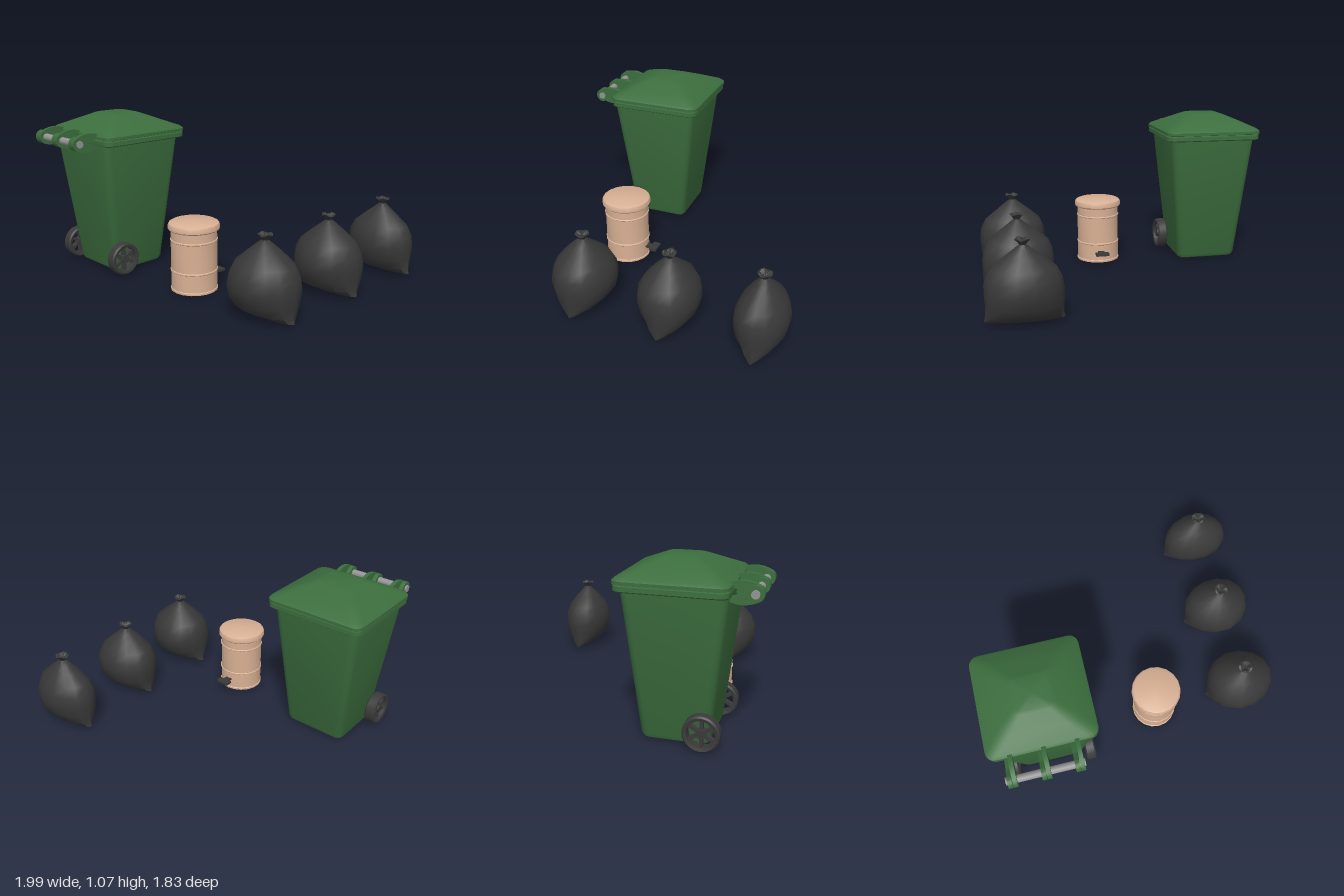
import * as THREE from 'three';
import { toCreasedNormals } from 'three/addons/utils/BufferGeometryUtils.js';

const mat = (name, color) => {
  const m = new THREE.MeshStandardMaterial({ color });
  m.name = name;
  return m;
};

// Skin a stack of equal-length rings (bottom to top) and cap both ends.
function loft(rings, crease) {
  const n = rings[0].length, pos = [], idx = [];
  rings.forEach(r => r.forEach(p => pos.push(...p)));
  for (let k = 0; k < rings.length - 1; k++)
    for (let i = 0; i < n; i++) {
      const j = (i + 1) % n, a = k * n, b = a + n;
      idx.push(a + i, b + i, a + j, a + j, b + i, b + j);
    }
  [rings[0], rings[rings.length - 1]].forEach((r, top) => {
    const c = pos.length / 3, base = top ? (rings.length - 1) * n : 0;
    pos.push(...[0, 1, 2].map(d => r.reduce((s, p) => s + p[d], 0) / n));
    for (let i = 0; i < n; i++) {
      const j = (i + 1) % n;
      idx.push(c, base + (top ? j : i), base + (top ? i : j));
    }
  });
  const g = new THREE.BufferGeometry();
  g.setAttribute('position', new THREE.Float32BufferAttribute(pos, 3));
  g.setIndex(idx);
  return toCreasedNormals(g, crease);
}

// Rounded rectangle in the xz plane.
function roundRect(y, x0, x1, z0, z1, r) {
  const out = [];
  const corners = [[x1 - r, z1 - r], [x0 + r, z1 - r], [x0 + r, z0 + r], [x1 - r, z0 + r]];
  corners.forEach(([cx, cz], q) => {
    for (let i = 0; i <= 4; i++) {
      const a = (q + i / 4) * Math.PI / 2;
      out.push([cx + r * Math.cos(a), y, cz + r * Math.sin(a)]);
    }
  });
  return out;
}

export function createModel() {
  const root = new THREE.Group();
  const green = mat('binGreen', 0x3c6e3e), tan = mat('canTan', 0xd8b094);
  const black = mat('bagBlack', 0x383838), rubber = mat('wheelDark', 0x3a3a3a);
  const grey = mat('rodGrey', 0x949494);
  const group = (name, parent = root) => {
    const g = new THREE.Group();
    g.name = name;
    parent.add(g);
    return g;
  };
  const add = (parent, name, geo, m, x = 0, y = 0, z = 0) => {
    const o = new THREE.Mesh(geo, m);
    o.name = name;
    o.position.set(x, y, z);
    parent.add(o);
    return o;
  };
  const lathe = (pts, seg, crease = 0.6) =>
    toCreasedNormals(new THREE.LatheGeometry(pts.map(p => new THREE.Vector2(...p)), seg), crease);

  // Wheeled bin: tapered body, rim and lid
  const bin = group('wheeledBin');
  add(bin, 'binBody', loft([
    roundRect(0.003, -0.845, -0.465, 0.25, 0.605, 0.03),
    roundRect(0.012, -0.863, -0.447, 0.232, 0.622, 0.04),
    roundRect(0.035, -0.873, -0.437, 0.221, 0.632, 0.045),
    roundRect(0.9, -0.962, -0.354, 0.122, 0.732, 0.05)], 0.6), green);
  add(bin, 'binRim', loft([
    roundRect(0.895, -0.985, -0.328, 0.1, 0.738, 0.05),
    roundRect(0.902, -0.995, -0.318, 0.09, 0.74, 0.055),
    roundRect(0.93, -0.995, -0.318, 0.09, 0.74, 0.055),
    roundRect(0.934, -0.985, -0.328, 0.1, 0.732, 0.05)], 0.5), green);
  add(bin, 'binLid', loft([
    roundRect(0.934, -0.985, -0.328, 0.1, 0.732, 0.05),
    roundRect(0.938, -1, -0.315, 0.083, 0.743, 0.06),
    roundRect(0.958, -1, -0.315, 0.083, 0.743, 0.06),
    roundRect(0.973, -0.985, -0.33, 0.1, 0.727, 0.06),
    roundRect(1.02, -0.885, -0.43, 0.205, 0.63, 0.06),
    roundRect(1.062, -0.785, -0.525, 0.3, 0.537, 0.04),
    roundRect(1.069, -0.76, -0.55, 0.32, 0.52, 0.03)], 0.6), green);

  // Hinge: paired arms of lid and body around one rod
  const hinge = group('hinge', bin);
  const arm = s => {
    const Y = v => 0.92 + s * v, sh = new THREE.Shape();
    sh.moveTo(0.715, Y(0.045));
    sh.quadraticCurveTo(0.8, Y(0.085), 0.89, Y(0.04));
    sh.absarc(0.87, 0.92, 0.045, s * 1.1, s * -2.1, s > 0);
    sh.lineTo(0.8, Y(0));
    sh.quadraticCurveTo(0.77, Y(0.01), 0.715, Y(0.032));
    const g = new THREE.ExtrudeGeometry(sh, { depth: 0.027, bevelEnabled: false, curveSegments: 10 });
    return toCreasedNormals(g.rotateY(-Math.PI / 2), 0.6);
  };
  const lidArm = arm(1), bodyArm = arm(-1);
  [-0.876, -0.674, -0.472].forEach(x => {
    add(hinge, 'lidArm', lidArm, green, x + 0.03);
    add(hinge, 'bodyArm', bodyArm, green, x);
  });
  add(hinge, 'hingeRod', new THREE.CylinderGeometry(0.024, 0.024, 0.48, 16).rotateZ(Math.PI / 2),
    grey, -0.675, 0.92, 0.868);

  // Spoked wheels and axle
  const tyre = lathe([[0.082, -0.03], [0.1, -0.035], [0.11, -0.026], [0.11, 0.026],
    [0.1, 0.035], [0.082, 0.03], [0.082, -0.03]], 28).rotateZ(Math.PI / 2);
  const hub = new THREE.CylinderGeometry(0.028, 0.028, 0.054, 16).rotateZ(Math.PI / 2);
  const spoke = new THREE.BoxGeometry(0.03, 0.07, 0.02).translate(0, 0.052, 0);
  [-0.928, -0.39].forEach(x => {
    const w = group('wheel', bin);
    w.position.set(x, 0.11, 0.6);
    add(w, 'tyre', tyre, rubber);
    add(w, 'hub', hub, rubber);
    for (let i = 0; i < 6; i++) add(w, 'spoke', spoke, rubber).rotation.x = i * Math.PI / 3;
  });
  add(bin, 'axle', new THREE.CylinderGeometry(0.014, 0.014, 0.54, 12).rotateZ(Math.PI / 2),
    rubber, -0.659, 0.11, 0.6);

  // Pedal can: ribbed body, lid, pedal
  const can = group('pedalCan');
  can.position.set(0.134, 0, 0.42);
  add(can, 'canBody', lathe([[0, 0], [0.154, 0], [0.154, 0.012], [0.149, 0.016],
    [0.149, 0.128], [0.154, 0.132], [0.154, 0.138], [0.149, 0.142],
    [0.149, 0.327], [0.154, 0.331], [0.154, 0.337], [0.149, 0.341], [0.149, 0.405]], 18), tan);
  add(can, 'canLid', lathe([[0, 0.4], [0.16, 0.4], [0.168, 0.408], [0.168, 0.426],
    [0.162, 0.441], [0.148, 0.449], [0, 0.452]], 18), tan);
  add(can, 'pedalArm', new THREE.BoxGeometry(0.045, 0.014, 0.06), rubber, 0, 0.078, -0.165);
  add(can, 'pedal', new THREE.BoxGeometry(0.095, 0.016, 0.05), rubber, 0, 0.078, -0.205);

  // Tied bags: seam at the bottom, full belly, gathered neck and flared knot
  // rows: height, half width, half depth
  const rows = [[0.003, 0.225, 0.012], [0.02, 0.236, 0.06], [0.055, 0.228, 0.13], [0.12, 0.229, 0.186],
    [0.2, 0.233, 0.208], [0.27, 0.223, 0.197], [0.335, 0.192, 0.16], [0.4, 0.112, 0.1],
    [0.445, 0.055, 0.053], [0.472, 0.02, 0.02], [0.488, 0.03, 0.03], [0.505, 0.047, 0.045],
    [0.508, 0.034, 0.034], [0.492, 0.01, 0.01]];
  const bag = (depth, turn) => loft(rows.map(([y, rx, rz], k) =>
    Array.from({ length: 14 }, (_, i) => {
      const a = i / 14 * Math.PI * 2, belly = k > 2 && k < 8;
      const f = belly ? 1 + 0.02 * Math.sin(3 * a + turn + k * 0.4) : 1;
      const lift = k === 0 ? 0.012 * Math.cos(a) ** 2 : k > 10 ? 0.006 * Math.sin(4 * a + turn) : 0;
      return [rx * f * Math.cos(a), y + lift, rz * f * (k < 9 ? depth : 1) * Math.sin(a)];
    })), 0.75);
  [[0.425, 1, 0], [-0.162, 0.96, 2], [-0.748, 0.81, 4]].forEach(([z, depth, turn]) =>
    add(root, 'rubbishBag', bag(depth, turn), black, 0.757, 0, z));

  return root;
}
